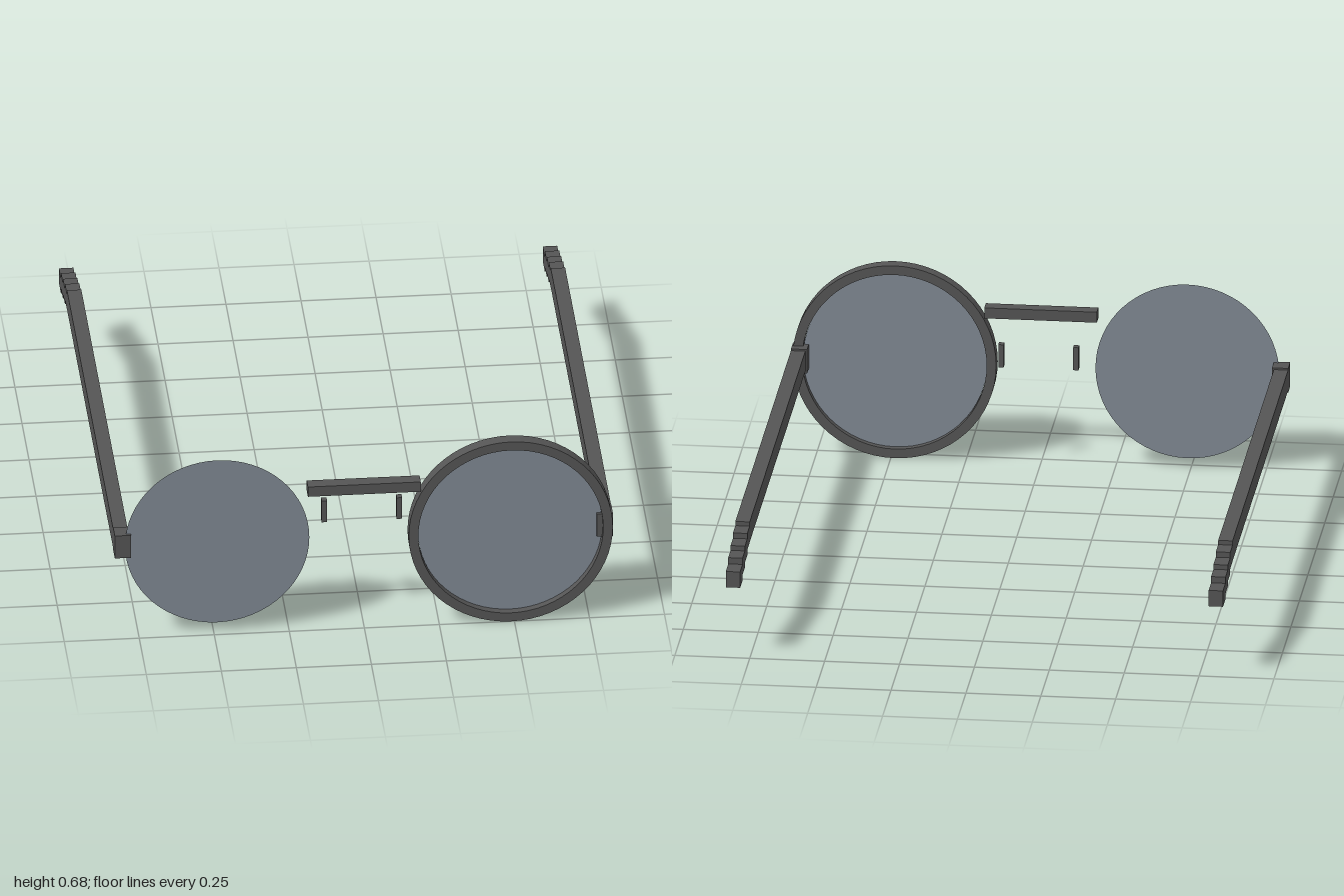
import * as THREE from 'three';

export function createModel() {
  const model = new THREE.Group();
  model.name = 'roundGlasses';

  const frame = new THREE.MeshStandardMaterial({ color: 0x555555 });
  frame.name = 'charcoal frame';
  const tint = new THREE.MeshStandardMaterial({ color: 0x808993, side: THREE.DoubleSide });
  tint.name = 'grey lens';

  const add = (name, geometry, material, parent = model) => {
    const mesh = new THREE.Mesh(geometry, material);
    mesh.name = name;
    parent.add(mesh);
    return mesh;
  };

  // Box given by its limits on each axis
  const box = (name, [x0, x1], [y0, y1], [z0, z1], parent) => {
    const mesh = add(name, new THREE.BoxGeometry(x1 - x0, y1 - y0, z1 - z0), frame, parent);
    mesh.position.set((x0 + x1) / 2, (y0 + y1) / 2, (z0 + z1) / 2);
  };

  const eyeX = 0.488, eyeY = 0.344;

  // Rim: a ring on the left eye only
  const ring = new THREE.Shape().absarc(0, 0, 0.34, 0, Math.PI * 2);
  ring.holes.push(new THREE.Path().absarc(0, 0, 0.308, 0, Math.PI * 2, true));
  const rim = add('leftRim', new THREE.ExtrudeGeometry(ring, {
    depth: 0.045, bevelEnabled: false, curveSegments: 32,
  }), frame);
  rim.position.set(eyeX, eyeY, 0.955);

  // Bridge between the eyes
  box('bridge', [-0.188, 0.188], [0.511, 0.548], [0.955, 1]);

  // Tip of each temple steps down: [yBottom, yTop, zBack, zFront]
  const steps = [
    [0.308, 0.366, -0.787, -0.717],
    [0.29, 0.347, -0.857, -0.787],
    [0.272, 0.33, -0.927, -0.857],
    [0.252, 0.308, -1, -0.927],
  ];

  for (const side of [1, -1]) {
    const label = side > 0 ? 'left' : 'right';
    const span = (a, b) => (side > 0 ? [a, b] : [-b, -a]);

    // Flat lens
    const lens = add(label + 'Lens', new THREE.CircleGeometry(0.307, 64), tint);
    lens.position.set(side * eyeX, eyeY, 0.975);

    // Nose pad
    box(label + 'NosePad', span(0.116, 0.134), [0.364, 0.444], [0.89, 0.914]);

    // Hinge, temple and stepped tip
    const arm = new THREE.Group();
    arm.name = label + 'Arm';
    model.add(arm);
    box(label + 'Hinge', span(0.776, 0.83), [0.302, 0.387], [0.925, 0.985], arm);
    box(label + 'Temple', span(0.782, 0.83), [0.31, 0.381], [-0.717, 0.925], arm);
    steps.forEach(([y0, y1, z0, z1], i) =>
      box(label + 'Tip' + (i + 1), span(0.782, 0.83), [y0, y1], [z0, z1], arm));
  }

  // Stand the rim on y = 0
  model.children.forEach((part) => { part.position.y -= 0.004; });
  return model;
}
